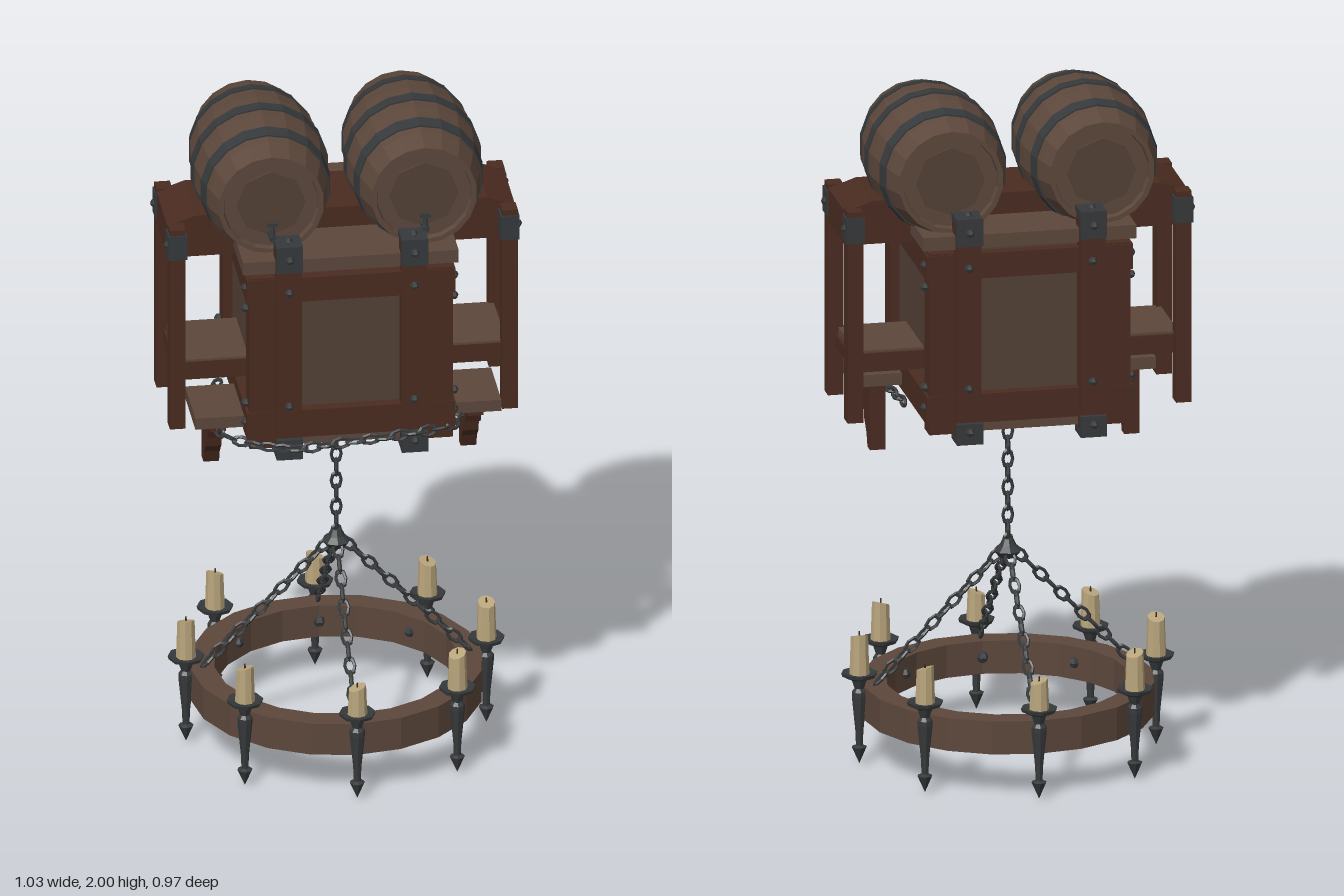
import * as THREE from 'three';

const mat = (name, color) => {
  const m = new THREE.MeshStandardMaterial({ color, flatShading: true });
  m.name = name;
  return m;
};

export function createModel() {
  const root = new THREE.Group();
  const oak = mat('oak', 0x5c473b), panelWood = mat('panel wood', 0x534136), redWood = mat('red brown wood', 0x4a2b20);
  const iron = mat('iron', 0x36393b), wax = mat('wax', 0xb9a57c), wick = mat('wick', 0x3a2a1c);

  const add = (parent, name, geo, material, x = 0, y = 0, z = 0) => {
    const m = new THREE.Mesh(geo, material);
    m.name = name;
    m.position.set(x, y, z);
    parent.add(m);
    return m;
  };
  const group = (name, parent = root) => {
    const g = new THREE.Group();
    g.name = name;
    parent.add(g);
    return g;
  };
  // box given by its min and max on each axis
  const box = (parent, name, m, x0, x1, y0, y1, z0, z1) =>
    add(parent, name, new THREE.BoxGeometry(x1 - x0, y1 - y0, z1 - z0), m, (x0 + x1) / 2, (y0 + y1) / 2, (z0 + z1) / 2);
  const lathe = (pts, n) => new THREE.LatheGeometry(pts.map(p => new THREE.Vector2(p[0], p[1])), n);
  const boltGeo = new THREE.SphereGeometry(0.013, 6, 4);
  const bolt = (parent, x, y, z) => add(parent, 'bolt', boltGeo, iron, x, y, z);

  // chain of alternating links along a curve
  const linkGeo = new THREE.TorusGeometry(0.014, 0.005, 5, 8).scale(1, 1.7, 1);
  const up = new THREE.Vector3(0, 1, 0);
  const chain = (name, curve) => {
    const g = group(name), n = Math.max(2, Math.round(curve.getLength() / 0.042));
    for (let i = 0; i < n; i++) {
      const t = (i + 0.5) / n;
      const link = add(g, 'chainLink', linkGeo, iron);
      link.position.copy(curve.getPointAt(t));
      link.quaternion.setFromUnitVectors(up, curve.getTangentAt(t));
      link.rotateY(i % 2 ? Math.PI / 2 : 0);
    }
  };
  const V = (x, y, z) => new THREE.Vector3(x, y, z);

  // barrels lying along z
  const barrelR = y => 0.152 + 0.042 * (1 - (y / 0.253) ** 2);
  for (const s of [-1, 1]) {
    const b = group('barrel');
    b.position.set(0.22 * s, 1.803, -0.012);
    const pts = [[0, -0.235], [0.135, -0.235], [0.138, -0.253]];
    for (let i = 0; i <= 8; i++) {
      const y = -0.253 + 0.506 * i / 8;
      pts.push([barrelR(y), y]);
    }
    pts.push([0.138, 0.253], [0.135, 0.235], [0, 0.235]);
    const lie = g => g.rotateX(Math.PI / 2);
    add(b, 'barrelStaves', lie(lathe(pts, 18)), oak);
    for (const z of [-0.15, 0.005, 0.143]) {
      const r0 = barrelR(z - 0.02) + 0.004, r1 = barrelR(z + 0.02) + 0.004;
      add(b, 'barrelHoop', lie(lathe([[r0 - 0.012, z - 0.02], [r0, z - 0.02], [r1, z + 0.02], [r1 - 0.012, z + 0.02]], 18)), iron);
    }
    for (const z of [-0.236, 0.236])
      add(b, 'barrelLid', lie(new THREE.CylinderGeometry(0.1, 0.1, 0.012, 8)), panelWood, 0, 0, z);
    // tap
    const tap = group('tap', b);
    tap.position.set(0, -0.09, 0.25);
    add(tap, 'tapSpout', lie(new THREE.CylinderGeometry(0.011, 0.011, 0.06, 6)), iron, 0, 0, 0.01);
    add(tap, 'tapHandle', new THREE.CylinderGeometry(0.006, 0.009, 0.04, 6), iron, 0, 0.02, 0.025);
    add(tap, 'tapKnob', new THREE.BoxGeometry(0.03, 0.01, 0.012), iron, 0, 0.04, 0.025);
  }

  // crate
  const crate = group('crate');
  box(crate, 'crateCore', panelWood, -0.265, 0.265, 1.08, 1.63, -0.275, 0.275);
  box(crate, 'crateTop', oak, -0.31, 0.31, 1.615, 1.655, -0.305, 0.3);
  box(crate, 'crateFloor', oak, -0.28, 0.28, 1.065, 1.1, -0.29, 0.29);
  for (const s of [-1, 1]) {
    const zf = a => (s > 0 ? [a[0], a[1]] : [-a[1], -a[0]]);
    // rails on the front and back, then on the sides
    for (const [y0, y1] of [[1.525, 1.6], [1.095, 1.18]]) {
      box(crate, 'crateRail', redWood, -0.3, 0.3, y0, y1, ...zf([0.26, 0.308]));
      box(crate, 'crateSideRail', redWood, ...zf([0.25, 0.3]), y0, y1, -0.3, 0.3);
    }
    for (const t of [-1, 1]) {
      const x = 0.18 * t;
      // corner posts
      add(crate, 'cornerPost', new THREE.BoxGeometry(0.075, 0.54, 0.07), redWood, 0.255 * t, 1.335, 0.27 * s);
      for (const y of [1.14, 1.2, 1.5, 1.565]) bolt(crate, 0.3 * t, y, 0.275 * s);
      // strapped posts with iron caps
      add(crate, 'strapPost', new THREE.BoxGeometry(0.073, 0.64, 0.06), redWood, x, 1.37, 0.29 * s);
      add(crate, 'topCapFace', new THREE.BoxGeometry(0.076, 0.08, 0.02), iron, x, 1.67, 0.325 * s);
      add(crate, 'topCap', new THREE.BoxGeometry(0.076, 0.018, 0.08), iron, x, 1.703, 0.295 * s);
      add(crate, 'bottomCapFace', new THREE.BoxGeometry(0.076, 0.06, 0.02), iron, x, 1.07, 0.325 * s);
      add(crate, 'bottomCap', new THREE.BoxGeometry(0.076, 0.016, 0.08), iron, x, 1.046, 0.295 * s);
      bolt(crate, x, 1.67, 0.335 * s);
      bolt(crate, x, 1.713, 0.295 * s);
      bolt(crate, x, 1.075, 0.335 * s);
      for (const y of [1.2, 1.56]) bolt(crate, x, y, 0.32 * s);
    }
  }

  // cross beam with bevelled ends
  const beam = new THREE.Shape([[-0.5, 1.59], [0.5, 1.59], [0.5, 1.69], [0.42, 1.718], [-0.42, 1.718], [-0.5, 1.69]]
    .map(p => new THREE.Vector2(...p)));
  add(root, 'crossBeam', new THREE.ExtrudeGeometry(beam, { depth: 0.23, bevelEnabled: false }), redWood, 0, 0, -0.125);

  // side frames
  for (const s of [-1, 1]) {
    const f = group('sideFrame');
    for (const z of [-0.14, 0.133]) {
      add(f, 'framePost', new THREE.BoxGeometry(0.045, 0.63, 0.05), redWood, 0.478 * s, 1.385, z);
      add(f, 'frameStrap', new THREE.BoxGeometry(0.054, 0.075, 0.06), iron, 0.478 * s, 1.645, z);
      bolt(f, 0.503 * s, 1.645, z);
      add(f, 'frameRail', new THREE.BoxGeometry(0.21, 0.055, 0.03), redWood, 0.365 * s, 1.238, z * 0.85);
    }
    add(f, 'frameCrossRail', new THREE.BoxGeometry(0.03, 0.035, 0.24), redWood, 0.465 * s, 1.235, 0);
    add(f, 'sideShelf', new THREE.BoxGeometry(0.2, 0.02, 0.25), oak, 0.37 * s, 1.262, 0);
  }

  // front shelf on consoles
  box(root, 'frontShelf', oak, -0.44, 0.44, 1.11, 1.145, 0.04, 0.25);
  const console_ = new THREE.Shape([[0.04, 1.11], [0.04, 0.92], [0.075, 0.92], [0.09, 0.96], [0.12, 0.99],
    [0.13, 1.03], [0.165, 1.04], [0.18, 1.075], [0.22, 1.085], [0.22, 1.11]].map(p => new THREE.Vector2(...p)));
  const consoleGeo = new THREE.ExtrudeGeometry(console_, { depth: 0.045, bevelEnabled: false }).rotateY(-Math.PI / 2);
  for (const x of [-0.37, 0.37]) add(root, 'shelfConsole', consoleGeo, redWood, x + 0.0225, 0, 0);

  // chain draped around the crate
  chain('drapedChain', new THREE.CatmullRomCurve3([V(-0.33, 1.1, -0.08), V(-0.37, 1.09, 0.1), V(-0.36, 1.09, 0.25),
    V(-0.2, 1.085, 0.355), V(0, 1.09, 0.345), V(0.15, 1.1, 0.34), V(0.3, 1.1, 0.29), V(0.33, 1.095, 0.1), V(0.32, 1.1, -0.1)]));

  // chandelier suspension
  add(root, 'ceilingPlate', new THREE.CylinderGeometry(0.13, 0.11, 0.02, 12), iron, 0, 1.06, 0);
  chain('mainChain', new THREE.LineCurve3(V(0, 1.07, 0), V(0, 0.61, 0)));
  add(root, 'chainHub', lathe([[0, 0.585], [0.025, 0.59], [0.042, 0.61], [0.025, 0.625], [0.015, 0.645], [0, 0.645]], 8), iron);
  for (let i = 0; i < 4; i++) {
    const a = i * Math.PI / 2, c = Math.cos(a), s = Math.sin(a);
    chain('armChain', new THREE.LineCurve3(V(0.02 * c, 0.61, 0.02 * s), V(0.385 * c, 0.235, 0.385 * s)));
  }

  // chandelier ring
  add(root, 'chandelierRing', lathe([[0.35, 0.13], [0.42, 0.13], [0.42, 0.228], [0.35, 0.228], [0.35, 0.13]], 20), oak);

  // candle holders
  const spikeGeo = lathe([[0, 0], [0.022, 0.05], [0.01, 0.055], [0.012, 0.1], [0.022, 0.2], [0.022, 0.215],
    [0.014, 0.225], [0.022, 0.25], [0.05, 0.262], [0.053, 0.272], [0.03, 0.268], [0, 0.268]], 8);
  for (let i = 0; i < 8; i++) {
    const h = group('candleHolder');
    h.rotation.y = i * Math.PI / 4;
    add(h, 'candleSpike', spikeGeo, iron, 0, 0, 0.432);
    const height = [0.085, 0.105, 0.115, 0.11][(i * 3) % 4];
    // melted candle with a slanting top
    const candle = new THREE.CylinderGeometry(0.025, 0.029, height, 9, 2);
    const p = candle.attributes.position;
    for (let k = 0; k < p.count; k++)
      if (p.getY(k) > 0.01) p.setY(k, p.getY(k) + 0.35 * p.getX(k));
    add(h, 'candle', candle, wax, 0, 0.266 + height / 2, 0.432);
    add(h, 'wick', new THREE.CylinderGeometry(0.002, 0.003, 0.016, 5), wick, 0, 0.272 + height, 0.432);
    const b = bolt(h, 0, 0.18, 0.35);
    b.scale.setScalar(1.4);
  }
  return root;
}
